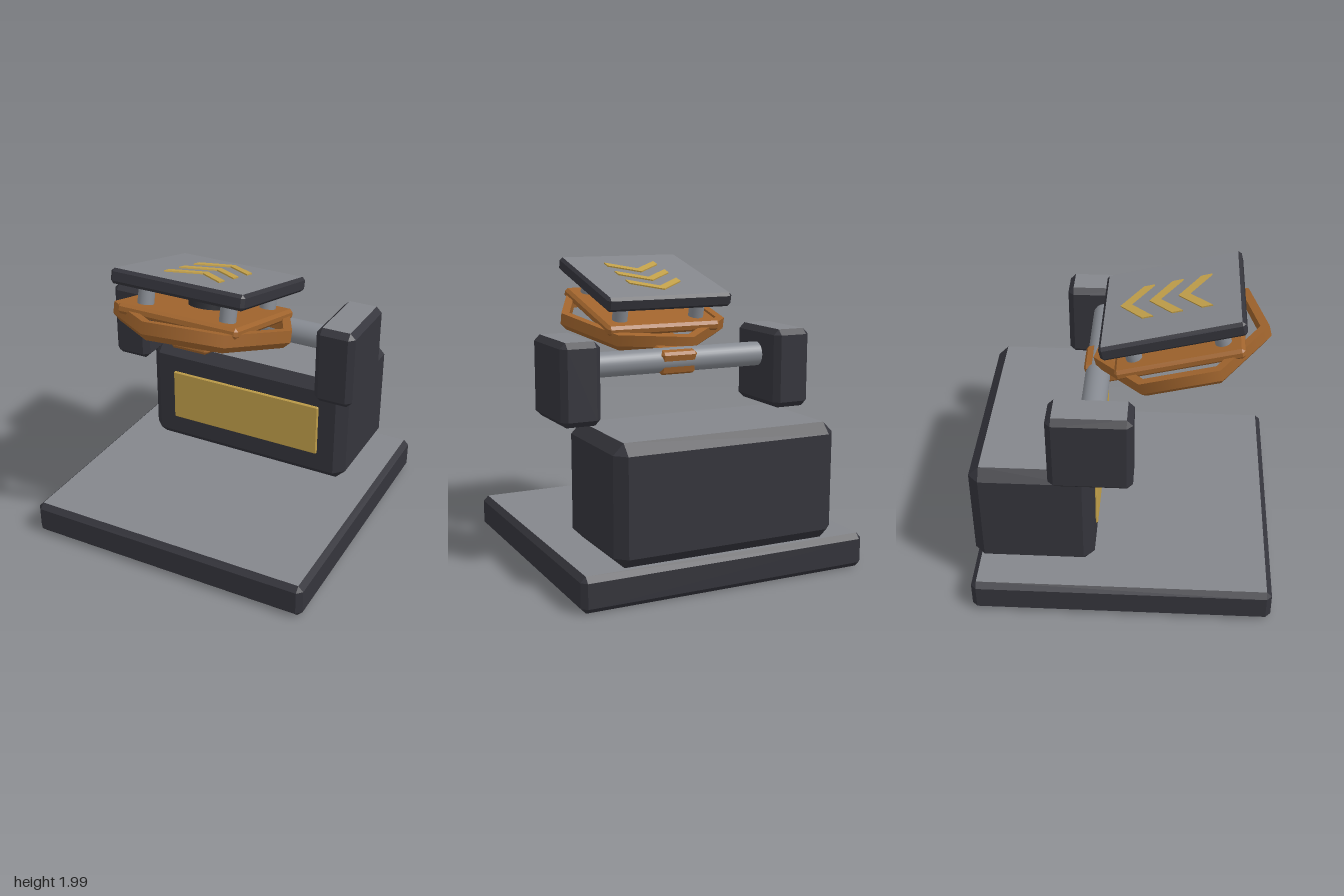
import * as THREE from 'three';
import { mergeGeometries } from 'three/addons/utils/BufferGeometryUtils.js';
import { ConvexGeometry } from 'three/addons/geometries/ConvexGeometry.js';

const mat = (name, color) => {
  const m = new THREE.MeshStandardMaterial({ color });
  m.name = name;
  return m;
};

export function createModel() {
  const dark = mat('charcoal', 0x34343b);
  const hubDark = mat('deep charcoal', 0x2c2d32);
  const grey = mat('cap grey', 0x84868b);
  const steel = mat('steel', 0x868a91);
  const orange = mat('copper orange', 0xa0642d);
  const gold = mat('gold', 0xc2a04a);

  const model = new THREE.Group();
  model.name = 'pedestalMachine';

  const add = (parent, name, geometry, material, x = 0, y = 0, z = 0) => {
    const mesh = new THREE.Mesh(geometry, material);
    mesh.name = name;
    mesh.position.set(x, y, z);
    parent.add(mesh);
    return mesh;
  };

  // Box with chamfered edges; flat top and bottom faces use material slot 1
  const chamferBox = (w, h, d, c) => {
    const points = [];
    for (const sx of [-1, 1]) for (const sy of [-1, 1]) for (const sz of [-1, 1]) {
      const x = w / 2, y = h / 2, z = d / 2;
      points.push(
        new THREE.Vector3(sx * x, sy * (y - c), sz * (z - c)),
        new THREE.Vector3(sx * (x - c), sy * y, sz * (z - c)),
        new THREE.Vector3(sx * (x - c), sy * (y - c), sz * z));
    }
    const geometry = new ConvexGeometry(points);
    const normal = geometry.attributes.normal;
    for (let i = 0; i < normal.count; i += 3) {
      geometry.addGroup(i, 3, Math.abs(normal.getY(i)) > 0.95 ? 1 : 0);
    }
    return geometry;
  };

  // Base, housing and front panel
  add(model, 'base', chamferBox(2, 0.23, 2, 0.035), [dark, grey], 0, 0.115, 0);
  add(model, 'housing', chamferBox(1.54, 0.77, 0.81, 0.07), [dark, grey], 0, 0.615, -0.595);
  add(model, 'frontPanel', chamferBox(1.15, 0.38, 0.03, 0.008), [gold, gold], 0, 0.62, -0.19);

  // Bearing blocks and the shaft between them
  for (const side of [-1, 1]) {
    add(model, side > 0 ? 'leftBlock' : 'rightBlock',
      chamferBox(0.268, 0.535, 0.537, 0.038), [dark, grey], side * 0.767, 1.272, -0.193);
  }
  const shaft = new THREE.CylinderGeometry(0.083, 0.083, 1.3, 32).rotateZ(Math.PI / 2);
  add(model, 'shaft', shaft, steel, 0, 1.35, -0.195);

  // Tilted assembly pivoting on the shaft
  const tilt = new THREE.Group();
  tilt.name = 'tiltingPlatform';
  tilt.position.set(0, 1.35, -0.195);
  tilt.rotation.x = -THREE.MathUtils.degToRad(14);
  model.add(tilt);
  const mid = 0.59;

  add(tilt, 'arm', chamferBox(0.26, 0.16, 0.88, 0.018), [orange, orange], 0, 0, 0.36);

  // Seven-sided ring, chamfered below, smooth around and sharp across its section
  const section = [[0.55, 0.025], [0.595, 0.068], [0.595, 0.146], [0.535, 0.146], [0.535, 0.025]]
    .map(([x, y]) => new THREE.Vector2(x, y));
  const bands = section.map((p, i) =>
    new THREE.LatheGeometry([p, section[(i + 1) % section.length]], 7, Math.PI / 2));
  add(tilt, 'ring', mergeGeometries(bands), orange, 0, 0, mid);

  add(tilt, 'carrierPlate', chamferBox(0.84, 0.07, 0.84, 0.02), [orange, orange], 0, 0.15, mid);

  // Centre hub and four posts
  add(tilt, 'hub', new THREE.CylinderGeometry(0.125, 0.125, 0.14, 24), hubDark, 0, 0.255, mid);
  for (const sx of [-1, 1]) for (const sz of [-1, 1]) {
    add(tilt, 'post', new THREE.CylinderGeometry(0.053, 0.053, 0.15, 20), steel,
      sx * 0.288, 0.25, mid + sz * 0.288);
  }

  // Top plate with three chevrons
  add(tilt, 'topPlate', chamferBox(0.92, 0.098, 0.925, 0.02), [dark, grey], 0, 0.352, mid);
  const outline = new THREE.Shape([
    [0, 0], [-0.193, -0.15], [-0.193, -0.222], [0, -0.07], [0.193, -0.222], [0.193, -0.15],
  ].map(([x, y]) => new THREE.Vector2(x, y)));
  const chevron = new THREE.ExtrudeGeometry(outline, { depth: 0.009, bevelEnabled: false })
    .rotateX(-Math.PI / 2);
  for (let i = 0; i < 3; i++) {
    add(tilt, 'chevron', chevron, gold, 0, 0.401, 0.252 + i * 0.192);
  }

  return model;
}
